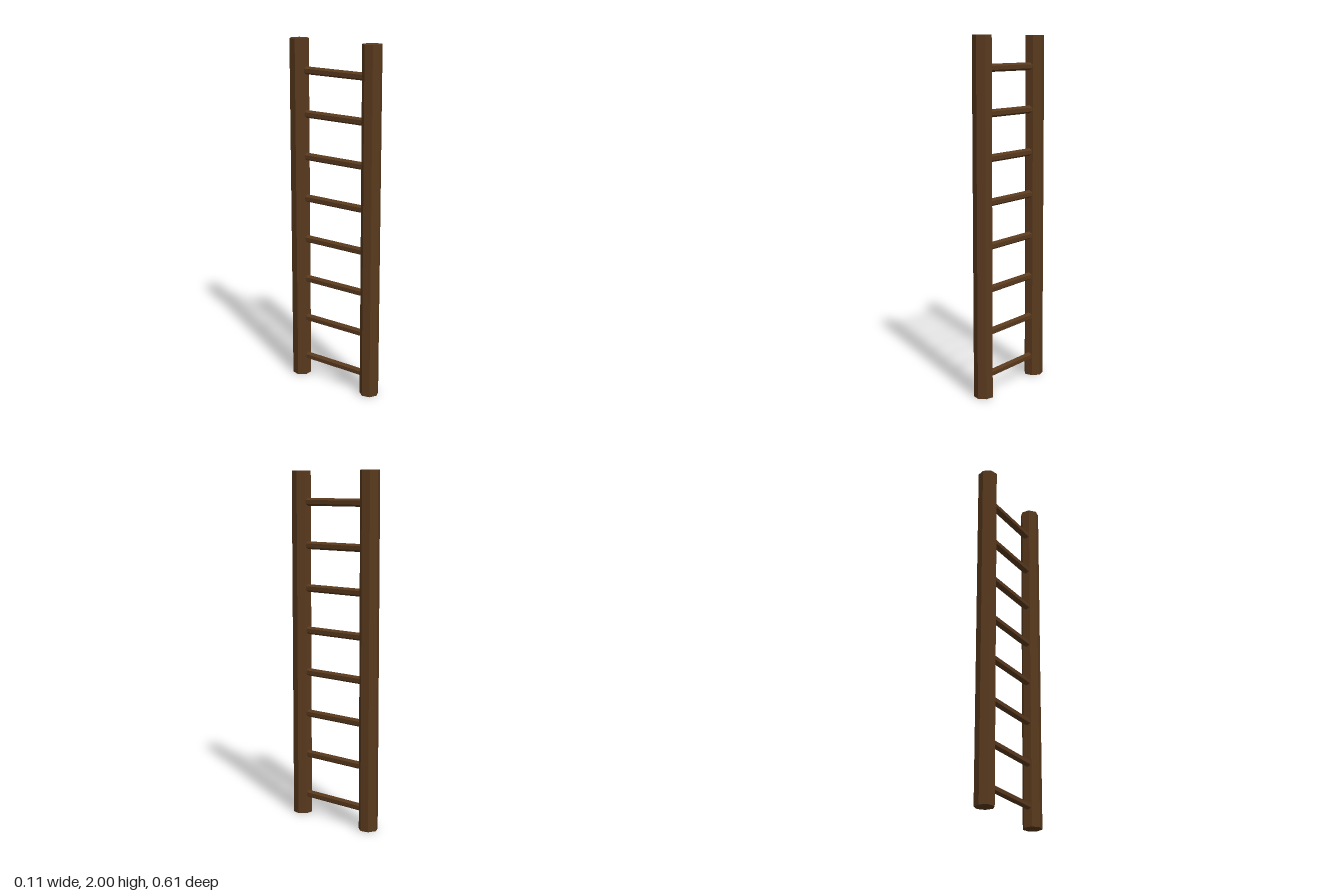
import * as THREE from 'three';

export function createModel() {
  const model = new THREE.Group();
  model.name = 'ladder';
  const wood = new THREE.MeshStandardMaterial({ color: 0x5a3a1e, flatShading: true });

  // Seven-sided posts, each with a flat side facing the rungs
  const postGeometry = new THREE.CylinderGeometry(0.055, 0.055, 2, 7);
  for (const side of [1, -1]) {
    const post = new THREE.Mesh(postGeometry, wood);
    post.name = side > 0 ? 'frontPost' : 'backPost';
    post.position.set(0, 1, side * 0.25);
    if (side < 0) post.rotation.y = Math.PI;
    model.add(post);
  }

  // Six-sided rungs running between the posts, one corner up
  const rungGeometry = new THREE.CylinderGeometry(0.022, 0.022, 0.402, 6).rotateX(Math.PI / 2);
  for (let i = 0; i < 8; i++) {
    const rung = new THREE.Mesh(rungGeometry, wood);
    rung.name = `rung${i + 1}`;
    rung.position.y = 0.117 + i * 0.244;
    model.add(rung);
  }
  return model;
}
